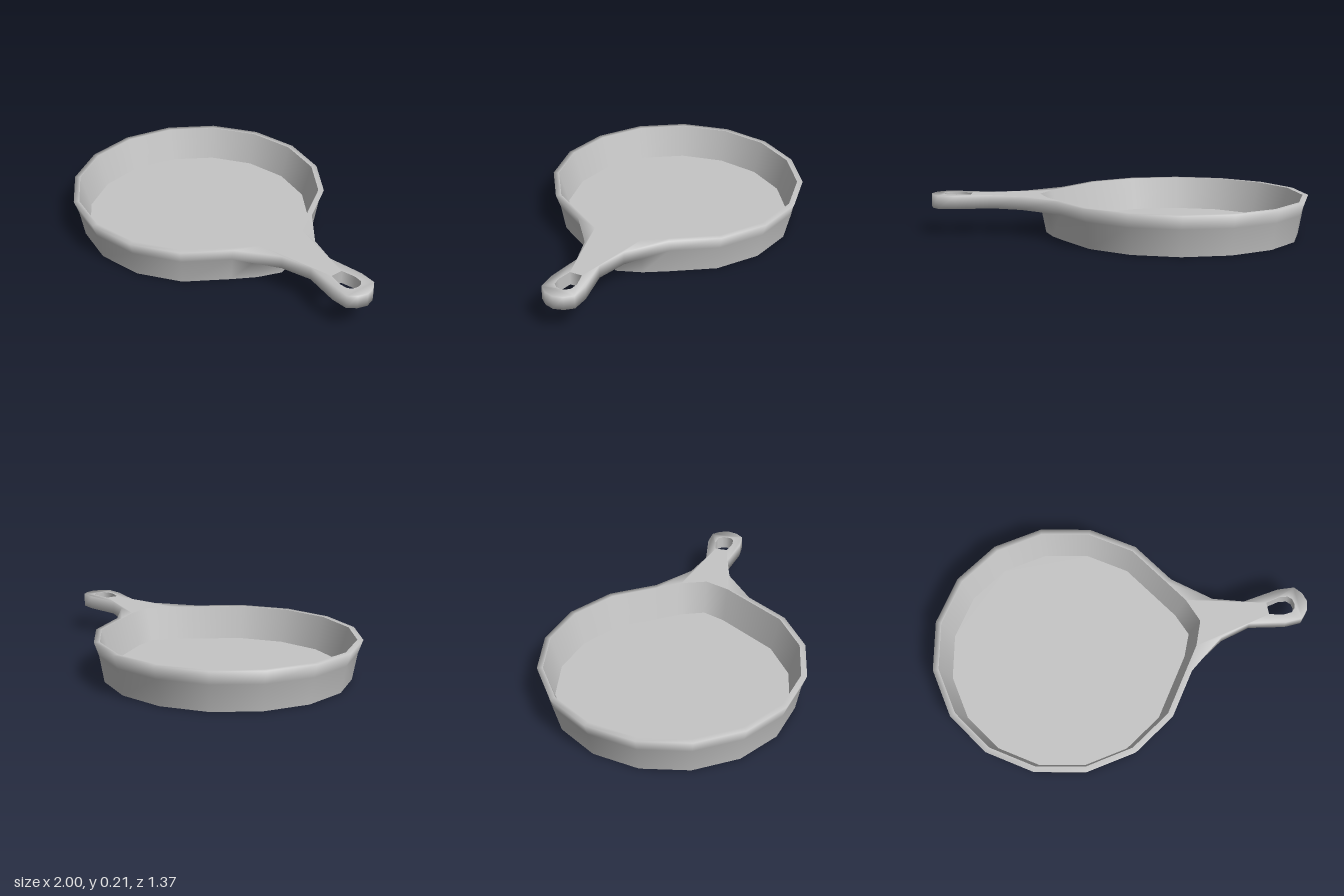
import * as THREE from 'three';
import { mergeGeometries, mergeVertices } from 'three/addons/utils/BufferGeometryUtils.js';

const CX = -0.315;            // centre of the round pan
const TOP = 0.208, MID = 0.138, FLOOR = 0.035;

// Sixteen-sided ring, drawn out to a soft point towards the handle
function ring(r, tip = 1.11, side = 1.055) {
  const angles = [0, 10.8];
  for (let k = 1; k < 16; k++) angles.push(k * 22.5);
  angles.push(349.2);
  return angles.map((deg, i) => {
    const a = THREE.MathUtils.degToRad(deg);
    const f = i === 0 ? tip : (i === 1 || i === 17 ? side : 1);
    return new THREE.Vector2(CX + r * f * Math.cos(a), r * f * Math.sin(a));
  });
}

// Mirrored outline around a middle section: half runs from the tip to the root
function mirrorAround(half, middle) {
  const other = half.slice(1).reverse().map(p => new THREE.Vector2(p.x, -p.y));
  return [...half, ...middle, ...other];
}

// Flat face at a height, facing up or down
function plate(points, y, up, holes = []) {
  const shape = new THREE.Shape(points);
  holes.forEach(h => shape.holes.push(new THREE.Path(h)));
  return new THREE.ShapeGeometry(shape).rotateX(up ? -Math.PI / 2 : Math.PI / 2).translate(0, y, 0);
}

// Closed wall between two loops, facing outward or inward
function wall(low, y0, high, y1, inward = false) {
  const a = inward ? [...low].reverse() : low;
  const b = inward ? [...high].reverse() : high;
  const n = a.length, pos = [], index = [];
  a.forEach(p => pos.push(p.x, y0, -p.y));
  b.forEach(p => pos.push(p.x, y1, -p.y));
  for (let i = 0; i < n; i++) {
    const j = (i + 1) % n;
    index.push(i, j, n + j, i, n + j, n + i);
  }
  const g = new THREE.BufferGeometry();
  g.setAttribute('position', new THREE.Float32BufferAttribute(pos, 3));
  g.setIndex(index);
  return g;
}

// Joins pieces into one surface, each normal weighted by the corner angles
function smooth(pieces) {
  pieces.forEach(g => { g.deleteAttribute('uv'); g.deleteAttribute('normal'); });
  const g = mergeVertices(mergeGeometries(pieces), 1e-4);
  const pos = g.attributes.position, index = g.index.array;
  const points = [], normals = [];
  for (let i = 0; i < pos.count; i++) {
    points.push(new THREE.Vector3().fromBufferAttribute(pos, i));
    normals.push(new THREE.Vector3());
  }
  for (let t = 0; t < index.length; t += 3) {
    for (let c = 0; c < 3; c++) {
      const [p, q, r] = [0, 1, 2].map(k => index[t + (c + k) % 3]);
      const e = points[q].clone().sub(points[p]), f = points[r].clone().sub(points[p]);
      const angle = e.angleTo(f);
      normals[p].addScaledVector(e.cross(f).normalize(), angle);
    }
  }
  const flat = normals.flatMap(n => n.normalize().toArray());
  g.setAttribute('normal', new THREE.Float32BufferAttribute(flat, 3));
  return g;
}

export function createModel() {
  const group = new THREE.Group();
  // Both sides show, as the shell is open underneath
  const iron = new THREE.MeshStandardMaterial({ color: 0xc5c5c5, side: THREE.DoubleSide });
  iron.name = 'grey iron';
  const add = (name, geometry) => {
    const mesh = new THREE.Mesh(geometry, iron);
    mesh.name = name;
    group.add(mesh);
  };
  const v = (x, y) => new THREE.Vector2(x, y);

  // Handle outline from tip to root, and its hanging hole
  const handle = [v(1, 0), v(0.985, 0.05), v(0.95, 0.09), v(0.86, 0.095), v(0.67, 0.063), v(0.51, 0.11)];
  const eye = mirrorAround([v(0.93, 0), v(0.925, 0.025), v(0.905, 0.045), v(0.86, 0.05)],
    [v(0.785, 0.033), v(0.785, -0.033)]);

  const base = ring(0.635), mid = ring(0.66), rim = ring(0.685);
  const innerRim = ring(0.655, 1.122, 1.065), floor = ring(0.605, 1.127, 1.065);
  const topOutline = mirrorAround(handle, rim.slice(2, 17));
  const midOutline = mirrorAround(handle, mid.slice(2, 17));
  const underside = mirrorAround(handle, [mid[2], mid[1], mid[0], mid[17], mid[16]]);

  // Outer wall, rim and handle flow into each other
  add('outerShellAndHandle', smooth([
    wall(base, 0, mid, MID),
    wall(midOutline, MID, topOutline, TOP),
    plate(topOutline, TOP, true, [innerRim, eye]),
    plate(underside, MID, false, [eye]),
  ]));

  // Inside of the pan; the floor sits above the open foot of the shell
  add('innerWall', smooth([wall(floor, FLOOR, innerRim, TOP, true)]));
  add('cookingFloor', plate(floor, FLOOR, true));

  // Hole through the handle
  add('hangingHoleWall', smooth([wall(eye, MID, eye, TOP, true)]));

  return group;
}
